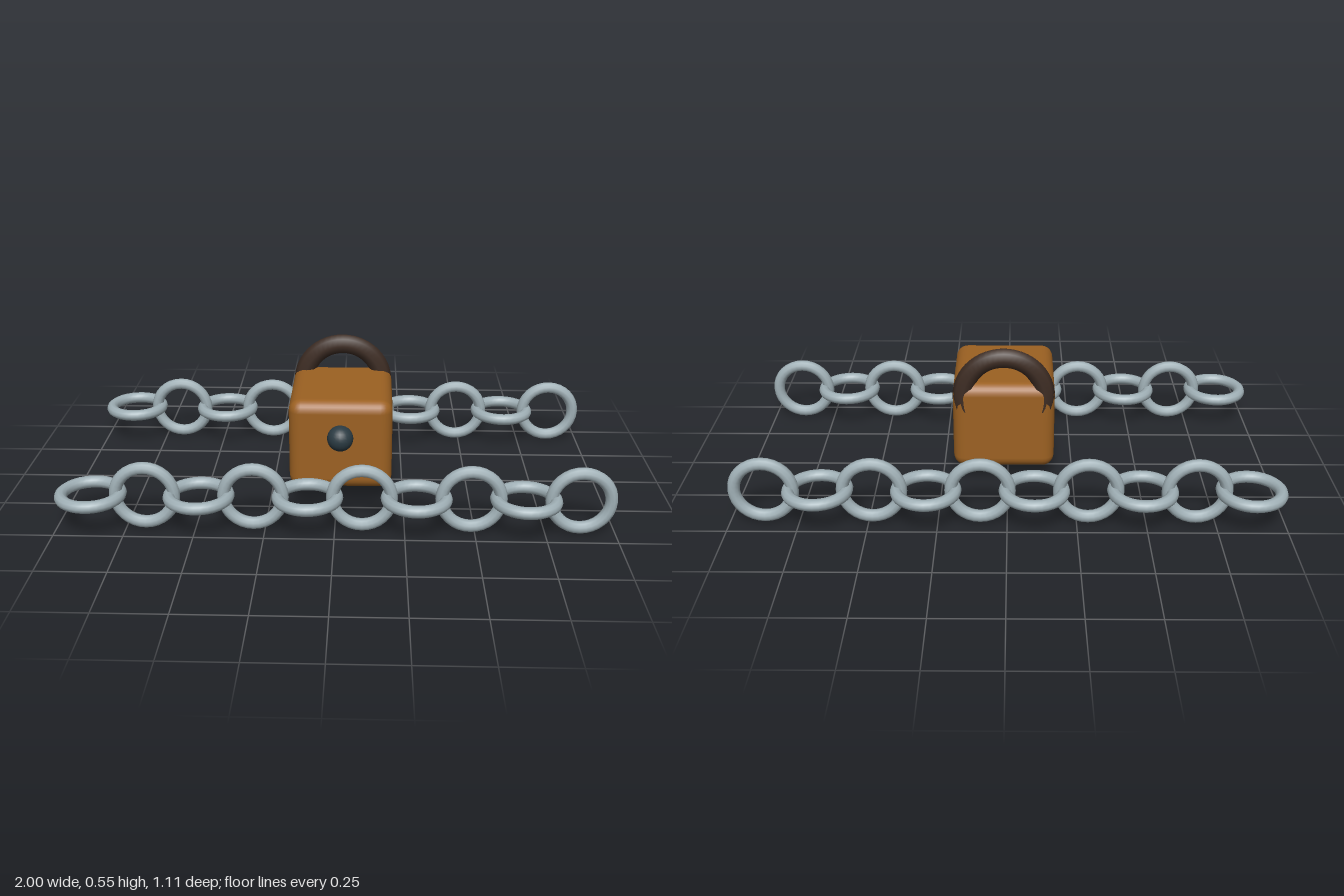
import * as THREE from 'three';
import { RoundedBoxGeometry } from 'three/addons/geometries/RoundedBoxGeometry.js';

const steel = new THREE.MeshStandardMaterial({ name: 'steel', color: 0xa0b0b6 });
const brass = new THREE.MeshStandardMaterial({ name: 'brass', color: 0x9c6122 });
const darkIron = new THREE.MeshStandardMaterial({ name: 'darkIron', color: 0x3d2c23 });
const slate = new THREE.MeshStandardMaterial({ name: 'slate', color: 0x2b3b43 });

function addMesh(parent, name, geometry, material, x, y, z) {
  const mesh = new THREE.Mesh(geometry, material);
  mesh.name = name;
  mesh.position.set(x, y, z);
  parent.add(mesh);
  return mesh;
}

// Ten round links, alternately lying flat and standing upright
function createChain(name, z) {
  const chain = new THREE.Group();
  chain.name = name;
  const count = 10, reach = 0.872;
  const link = new THREE.TorusGeometry(0.1055, 0.0225, 10, 32);
  for (let i = 0; i < count; i++) {
    const x = -reach + (2 * reach * i) / (count - 1);
    const flat = i % 2 === 0;
    const mesh = addMesh(chain, flat ? 'flatLink' : 'uprightLink', link, steel, x, 0.13, z);
    if (flat) mesh.rotation.x = Math.PI / 2;
  }
  return chain;
}

function createPadlock() {
  const lock = new THREE.Group();
  lock.name = 'padlock';
  lock.position.x = 0.015;

  // Body with softened edges
  addMesh(lock, 'lockBody', new RoundedBoxGeometry(0.38, 0.345, 0.422, 3, 0.045), brass, 0, 0.2475, 0.04);

  // Shackle arch, its ends sunk into the rear of the body
  const arc = Math.PI * 1.22;
  const shackle = addMesh(lock, 'shackle', new THREE.TorusGeometry(0.1525, 0.0378, 8, 32, arc), darkIron, 0, 0.365, -0.134);
  shackle.rotation.z = (Math.PI - arc) / 2;

  // Round stud on the front
  addMesh(lock, 'keyholeStud', new THREE.SphereGeometry(0.048, 20, 14), slate, 0, 0.287, 0.26);
  return lock;
}

export function createModel() {
  const model = new THREE.Group();
  model.name = 'padlockAndChains';
  model.add(createPadlock(), createChain('frontChain', 0.425), createChain('backChain', -0.425));
  return model;
}
